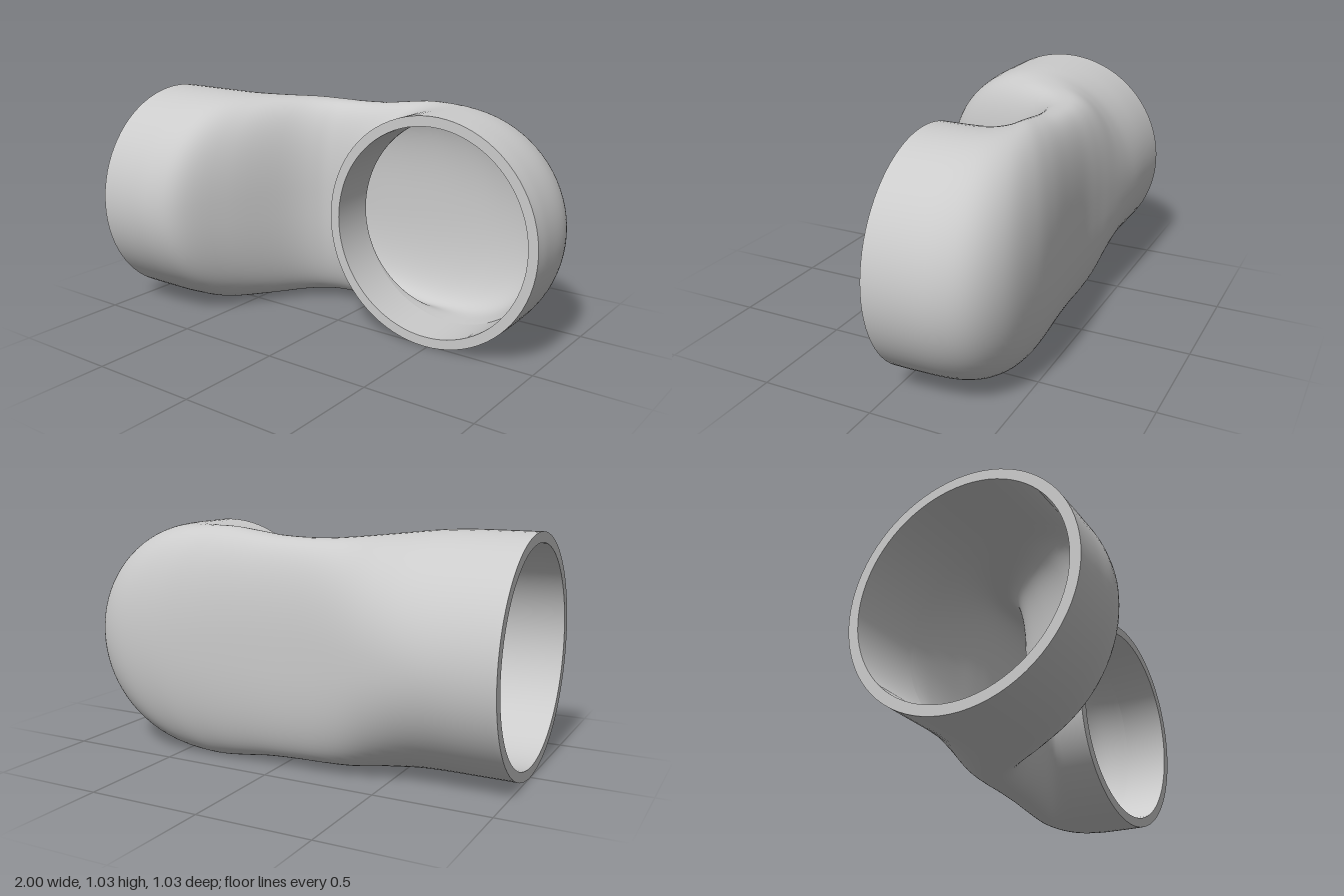
import * as THREE from 'three';

const CY = 0.515; // height of the pipe axis
const R = 0.515, BORE = 0.47;

// Each row is one oval ring: front point (x, z), back point (x, z), half height, squareness.
// The rings are splined together into a smooth skin.
function loft(name, rows, steps, inward = false) {
  const front = new THREE.CatmullRomCurve3(rows.map(r => new THREE.Vector3(r[0], r[1], r[4])), false, 'catmullrom');
  const back = new THREE.CatmullRomCurve3(rows.map(r => new THREE.Vector3(r[2], r[3], r[5] ?? 2)), false, 'catmullrom');
  const sides = 80, n = (rows.length - 1) * steps;
  const pos = [], index = [];
  for (let i = 0; i <= n; i++) {
    const f = front.getPoint(i / n), b = back.getPoint(i / n);
    const power = 2 / b.z;
    for (let j = 0; j < sides; j++) {
      const a = (j / sides) * Math.PI * 2;
      const c = Math.sign(Math.cos(a)) * Math.abs(Math.cos(a)) ** power;
      const s = Math.sign(Math.sin(a)) * Math.abs(Math.sin(a)) ** power;
      pos.push((f.x + b.x) / 2 + (f.x - b.x) / 2 * c, CY + f.z * s, (f.y + b.y) / 2 + (f.y - b.y) / 2 * c);
      if (i < n) {
        const k = (j + 1) % sides, p = i * sides, q = p + sides;
        if (inward) index.push(p + j, p + k, q + j, q + j, p + k, q + k);
        else index.push(p + j, q + j, p + k, q + j, q + k, p + k);
      }
    }
  }
  const geo = new THREE.BufferGeometry();
  geo.setAttribute('position', new THREE.Float32BufferAttribute(pos, 3));
  geo.setIndex(index);
  geo.computeVertexNormals();
  const mesh = new THREE.Mesh(geo, new THREE.MeshStandardMaterial({ color: 0xcccccc }));
  mesh.name = name;
  return mesh;
}

// Round rings at the inlet (facing -x) and at the outlet (facing +z)
const inlet = (x, r) => [x, r, x, -r, r, 2];
const outlet = (z, r) => [0.485 - r, z, 0.485 + r, z, r, 2];

export function createModel() {
  const group = new THREE.Group();
  group.name = 'offsetElbow';

  // Outer skin: round inlet, flattened neck, domed turn into the outlet
  group.add(loft('outerShell', [
    inlet(-1, R),
    inlet(-0.85, R),
    [-0.7, 0.508, -0.7, -0.515, 0.514, 2],
    [-0.57, 0.45, -0.58, -0.51, 0.508, 2.1],
    [-0.45, 0.26, -0.46, -0.503, 0.498, 2.25],
    [-0.31, 0, -0.33, -0.493, 0.488, 2.4],
    [-0.21, -0.115, -0.2, -0.482, 0.481, 2.5],
    [-0.13, -0.152, -0.05, -0.476, 0.48, 2.5],
    [-0.07, -0.155, 0.15, -0.488, 0.486, 2.4],
    [-0.04, -0.145, 0.38, -0.51, 0.502, 2.2],
    [-0.032, -0.135, 0.58, -0.517, 0.514, 2.05],
    [-0.03, -0.125, 0.78, -0.49, R, 2],
    [-0.03, -0.115, 0.92, -0.41, R, 2],
    [-0.03, -0.105, 0.985, -0.28, R, 2],
    outlet(-0.09, R),
    outlet(0.015, R),
  ], 6));

  // Inner passage between the two straight sockets
  group.add(loft('innerPassage', [
    inlet(-0.66, BORE),
    [-0.58, 0.4, -0.58, -0.466, 0.464, 2.1],
    [-0.49, 0.22, -0.48, -0.46, 0.454, 2.25],
    [-0.36, 0, -0.34, -0.45, 0.444, 2.4],
    [-0.24, -0.15, -0.2, -0.438, 0.437, 2.5],
    [-0.13, -0.197, -0.05, -0.432, 0.435, 2.5],
    [-0.04, -0.205, 0.15, -0.443, 0.441, 2.4],
    [0, -0.204, 0.38, -0.465, 0.457, 2.2],
    [0.01, -0.203, 0.58, -0.471, 0.468, 2.05],
    [0.014, -0.202, 0.78, -0.445, BORE, 2],
    [0.015, -0.201, 0.9, -0.37, BORE, 2],
    outlet(-0.2, BORE),
  ], 6, true));

  // Sockets and flat rims at both ends
  group.add(loft('inletSocket', [inlet(-1, BORE), inlet(-0.66, BORE)], 1, true));
  group.add(loft('outletSocket', [outlet(-0.2, BORE), outlet(0.015, BORE)], 1, true));
  group.add(loft('inletRim', [inlet(-1, BORE), inlet(-1, R)], 1));
  group.add(loft('outletRim', [outlet(0.015, R), outlet(0.015, BORE)], 1));

  return group;
}
